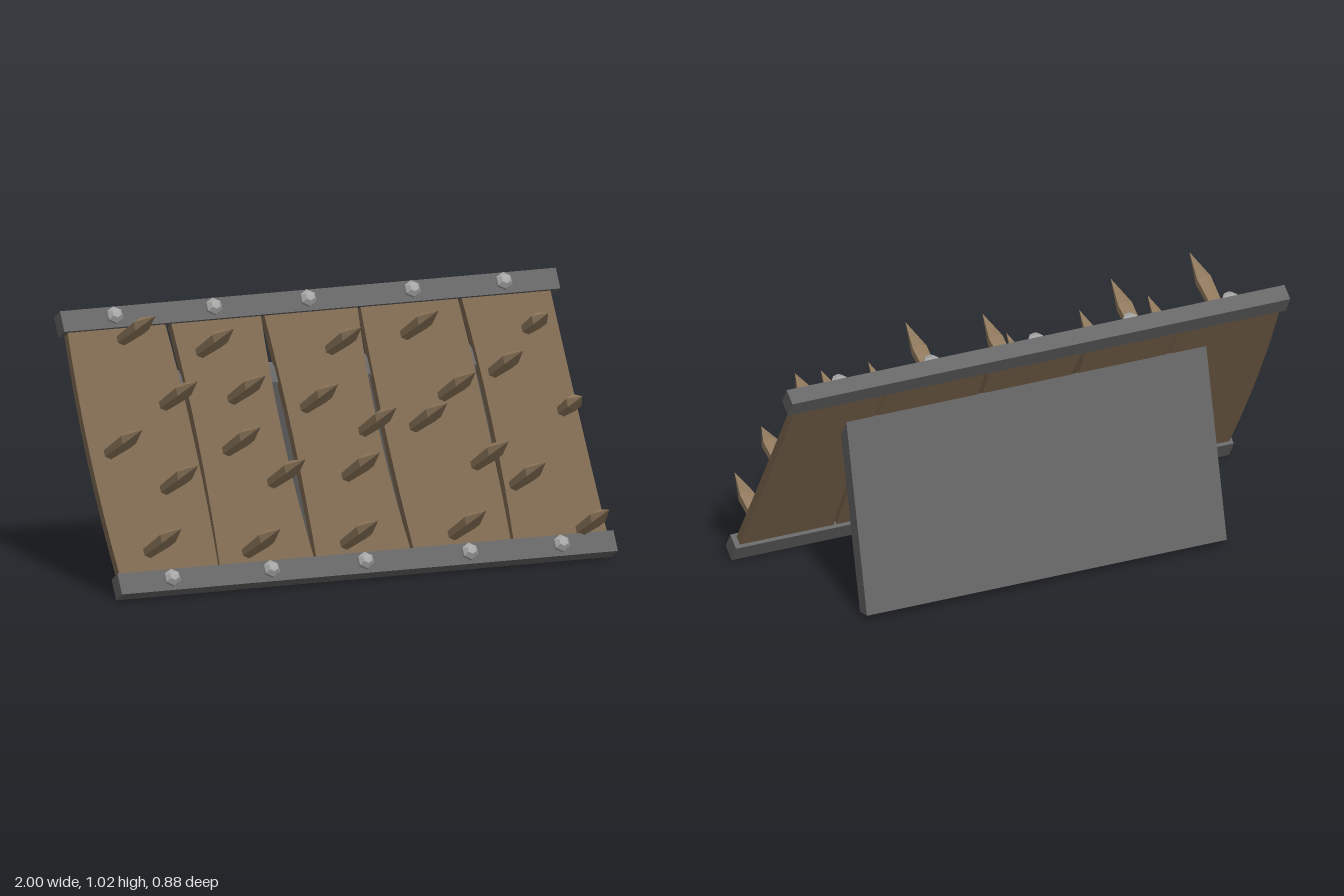
import * as THREE from 'three';

const material = (color) => new THREE.MeshStandardMaterial({ color, flatShading: true });

function add(parent, name, geometry, mat, x = 0, y = 0, z = 0) {
  const mesh = new THREE.Mesh(geometry, mat);
  mesh.name = name;
  mesh.position.set(x, y, z);
  parent.add(mesh);
  return mesh;
}

// Plank with gently bowed sides; each side is [bottom, middle, top] in x
function plankGeometry(left, right, half, thickness) {
  const bow = ([a, m, b]) => 2 * m - (a + b) / 2;
  const s = new THREE.Shape();
  s.moveTo(left[0], -half);
  s.lineTo(right[0], -half);
  s.quadraticCurveTo(bow(right), 0, right[2], half);
  s.lineTo(left[2], half);
  s.quadraticCurveTo(bow(left), 0, left[0], -half);
  const g = new THREE.ExtrudeGeometry(s, { depth: thickness, bevelEnabled: false, curveSegments: 8 });
  return g.translate(0, 0, -thickness / 2);
}

// Faceted solid of revolution pointing along +z
function turned(points, sides) {
  const g = new THREE.LatheGeometry(points.map(([r, h]) => new THREE.Vector2(r, h)), sides);
  return g.rotateX(Math.PI / 2);
}

export function createModel() {
  const model = new THREE.Group();
  const metal = material(0x666666);
  const boltMetal = material(0xa8a8a8);
  const plankWood = material(0x7d6850);
  const spikeWood = material(0x957d60);

  // Leaning wall: everything on it is built upright, then tilted back
  const lean = 0.537;
  const wall = new THREE.Group();
  wall.name = 'leaningWall';
  wall.position.set(0, 0.5, -0.069);
  wall.rotation.x = -lean;
  model.add(wall);

  // Planks
  const thickness = 0.036;
  const sides = [
    [[-0.985, -1.0, -0.98], [-0.59, -0.575, -0.59]],
    [[-0.585, -0.56, -0.565], [-0.2, -0.22, -0.2]],
    [[-0.195, -0.18, -0.19], [0.19, 0.165, 0.19]],
    [[0.2, 0.19, 0.2], [0.59, 0.6, 0.59]],
    [[0.6, 0.62, 0.605], [0.98, 0.97, 0.965]],
  ];
  for (const [l, r] of sides) add(wall, 'plank', plankGeometry(l, r, 0.51, thickness), plankWood);

  // Crossbars with bolts
  const bolt = turned([[0.033, 0], [0.033, 0.014], [0.018, 0.032], [0, 0.034]], 6);
  for (const y of [-0.518, 0.518]) {
    add(wall, 'crossbar', new THREE.BoxGeometry(2, 0.082, 0.063), metal, 0, y, 0);
    for (const x of [-0.79, -0.39, -0.01, 0.41, 0.78]) {
      add(wall, 'bolt', bolt, boltMetal, x, y + 0.005, 0.031);
    }
  }

  // Spikes: tip x, tip height, length factor
  const spike = turned([[0.026, 0], [0.034, 0.18], [0, 0.31]], 6);
  const tips = [
    [-0.76, 1.02, 1], [-0.46, 0.955, 1], [-0.65, 0.79, 1], [-0.91, 0.645, 1], [-0.375, 0.79, 1],
    [-0.44, 0.62, 1], [-0.72, 0.51, 1], [-0.29, 0.5, 1], [-0.84, 0.305, 1], [-0.45, 0.275, 1],
    [0.055, 0.92, 0.95], [0.365, 0.955, 1], [0.85, 0.89, 0.65], [-0.095, 0.74, 1], [0.115, 0.645, 1],
    [0.32, 0.645, 1], [0.46, 0.74, 1], [0.68, 0.79, 0.9], [0.92, 0.6, 0.6], [0.01, 0.5, 1],
    [0.53, 0.5, 1], [0.665, 0.415, 0.95], [-0.055, 0.275, 1], [0.38, 0.275, 1], [0.89, 0.235, 0.87],
  ];
  for (const [x, tipY, s] of tips) {
    const y = (tipY - 0.138 * s - 0.509) / Math.cos(lean);
    const m = add(wall, 'spike', spike, spikeWood, x - 0.01, y, thickness / 2 - 0.004);
    m.rotation.set(0.07, 0.04, 0);
    m.scale.set(0.95, 0.95, s);
  }

  // Rear support panel, its profile given in (z, y) and ending inside the planks
  const width = 1.446;
  const profile = [[-0.369, 0.015], [-0.434, 0.031], [-0.24, 0.755], [-0.218, 0.74], [-0.186, 0.69]];
  const shape = new THREE.Shape(profile.map(([z, y]) => new THREE.Vector2(-z, y)));
  const panel = new THREE.ExtrudeGeometry(shape, { depth: width, bevelEnabled: false });
  panel.translate(0, 0, -width / 2).rotateY(Math.PI / 2);
  add(model, 'rearSupport', panel, metal);

  return model;
}
